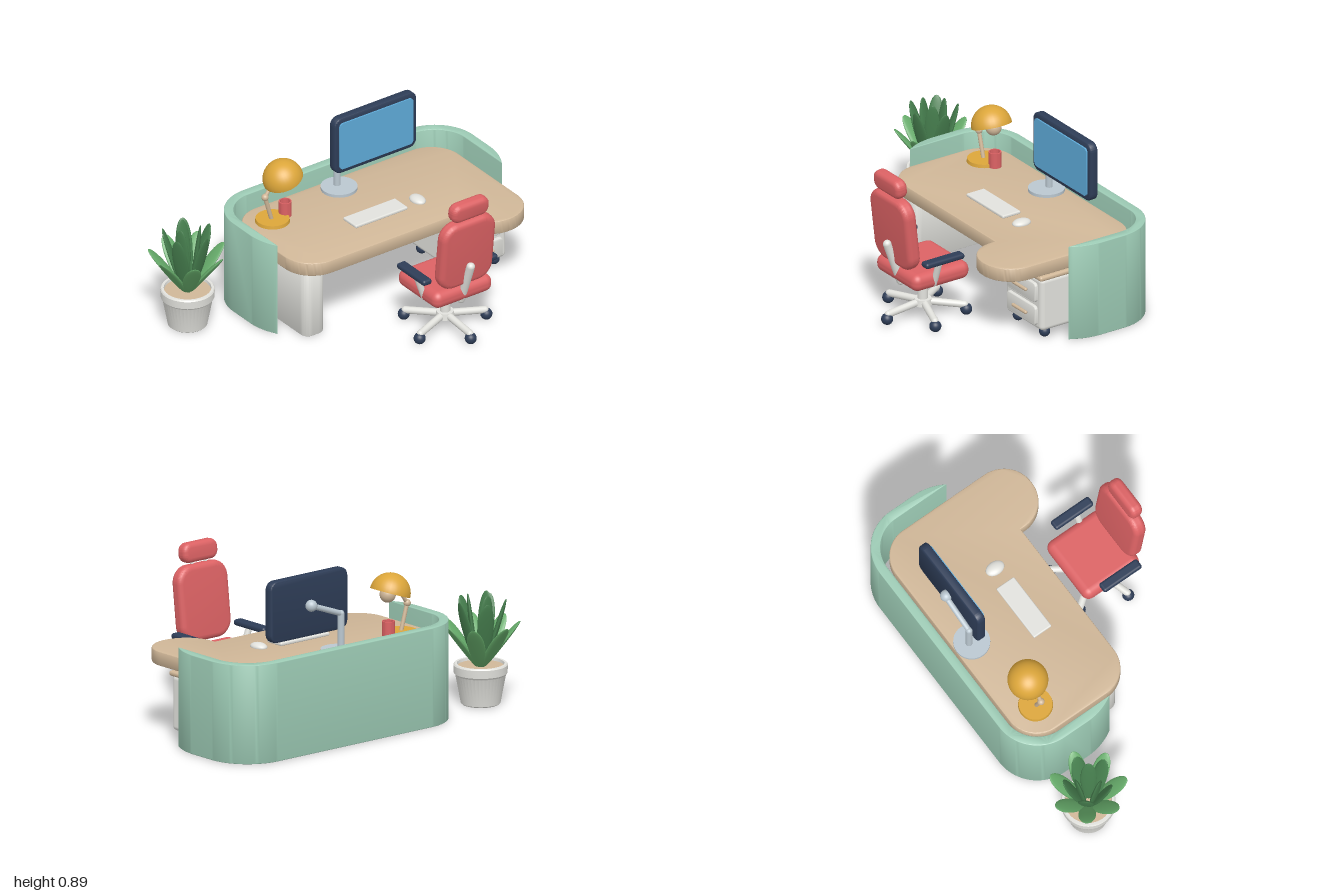
import * as THREE from 'three';
import { toCreasedNormals } from 'three/addons/utils/BufferGeometryUtils.js';
import { RoundedBoxGeometry } from 'three/addons/geometries/RoundedBoxGeometry.js';

const mat = (name, color) => {
  const m = new THREE.MeshStandardMaterial({ color });
  m.name = name;
  return m;
};
const V = (x, y, z) => new THREE.Vector3(x, y, z);

export function createModel() {
  const sage = mat('sage', 0x9ccab4), wood = mat('wood', 0xd0b798), white = mat('white', 0xe2e2dd);
  const grey = mat('paleGrey', 0xbac7d0), red = mat('coral', 0xdc6264), navy = mat('navy', 0x2e3d57);
  const blue = mat('screenBlue', 0x5eaad8), gold = mat('gold', 0xdca63a);
  const leafLight = mat('leafLight', 0x66ab6a), leafDark = mat('leafDark', 0x47804f);
  gold.side = THREE.DoubleSide;

  const model = new THREE.Group();
  const group = (name, parent = model) => {
    const g = new THREE.Group();
    g.name = name;
    parent.add(g);
    return g;
  };
  const add = (parent, name, geo, material, x = 0, y = 0, z = 0) => {
    const m = new THREE.Mesh(geo, material);
    m.name = name;
    m.position.set(x, y, z);
    parent.add(m);
    return m;
  };
  const rbox = (w, h, d, r) => new RoundedBoxGeometry(w, h, d, 4, r);
  const disc = (r, h, r2 = r) => new THREE.CylinderGeometry(r2, r, h, 32);
  const ball = (r) => new THREE.SphereGeometry(r, 24, 16);
  // round-ended rod between two points
  const rod = (parent, name, a, b, r, material) => {
    const d = b.clone().sub(a);
    const m = add(parent, name, new THREE.CapsuleGeometry(r, d.length(), 6, 16), material);
    m.position.copy(a).add(b).multiplyScalar(0.5);
    m.quaternion.setFromUnitVectors(V(0, 1, 0), d.normalize());
    return m;
  };
  const roundRect = (w, h, r) => {
    const s = new THREE.Shape(), x = w / 2 - r, y = h / 2 - r, q = Math.PI / 2;
    s.absarc(x, y, r, 0, q);
    s.absarc(-x, y, r, q, 2 * q);
    s.absarc(-x, -y, r, 2 * q, 3 * q);
    s.absarc(x, -y, r, 3 * q, 4 * q);
    s.closePath();
    return s;
  };
  // extrusion centred on z, bevel kept inside the depth and outline
  const slab = (shape, depth, bevel) => {
    const g = new THREE.ExtrudeGeometry(shape, {
      depth: depth - 2 * bevel, bevelEnabled: bevel > 0, bevelSize: bevel, bevelThickness: bevel,
      bevelOffset: -bevel, bevelSegments: 4, curveSegments: 14,
    });
    g.translate(0, 0, bevel - depth / 2);
    return toCreasedNormals(g, 0.6);
  };
  // plan shapes use (x, -z) and are extruded upward
  const plan = (shape, height, bevel) => slab(shape, height, bevel).rotateX(-Math.PI / 2);
  const P = Math.PI, H = P / 2;

  // Wraparound privacy screen
  const u = new THREE.Shape();
  u.moveTo(-0.47, 0.06);
  u.quadraticCurveTo(-0.515, 0.13, -0.52, 0.22);
  u.absarc(-0.28, 0.38, 0.24, P, H, true);
  u.absarc(0.76, 0.38, 0.24, H, 0, true);
  u.lineTo(1, 0.22);
  u.quadraticCurveTo(0.995, 0.13, 0.95, 0.06);
  u.absarc(0.76, 0.38, 0.19, 0, H, false);
  u.absarc(-0.28, 0.38, 0.19, H, P, false);
  u.closePath();
  add(model, 'privacyScreen', plan(u, 0.525, 0.005), sage, 0, 0.2625, 0);

  // Desk with a return on its left side
  const desk = group('desk');
  const t = new THREE.Shape();
  t.moveTo(-0.43, 0.37);
  t.absarc(-0.26, 0.37, 0.17, P, H, true);
  t.absarc(0.73, 0.37, 0.17, H, 0, true);
  t.absarc(0.73, -0.145, 0.17, 0, -H, true);
  t.absarc(0.72, -0.145, 0.17, -H, -P, true);
  t.lineTo(0.55, -0.12);
  t.absarc(-0.26, 0.05, 0.17, -H, -P, true);
  t.closePath();
  add(desk, 'desktop', plan(t, 0.075, 0.006), wood, 0, 0.4125, 0);
  add(desk, 'deskLeg', plan(roundRect(0.13, 0.51, 0.045), 0.375, 0.005), white, -0.315, 0.1875, -0.195);
  add(desk, 'modestyPanel', new THREE.BoxGeometry(1.09, 0.22, 0.03), white, 0.285, 0.265, -0.4);

  // Drawer pedestal
  const ped = group('drawerPedestal');
  add(ped, 'cabinet', rbox(0.325, 0.295, 0.4, 0.025), white, 0.7275, 0.1975, -0.135);
  add(ped, 'cabinetTop', rbox(0.345, 0.028, 0.425, 0.013), wood, 0.7275, 0.352, -0.135);
  for (const y of [0.26, 0.13]) {
    add(ped, 'drawerFront', slab(roundRect(0.258, 0.108, 0.02), 0.024, 0.006), white, 0.7275, y, 0.07);
    rod(ped, 'drawerHandle', V(0.672, y, 0.09), V(0.783, y, 0.09), 0.009, wood);
  }
  for (const x of [0.61, 0.845]) for (const z of [0.015, -0.29])
    add(ped, 'cabinetCaster', ball(0.029), navy, x, 0.029, z);

  // Office chair
  const chair = group('chair');
  chair.position.set(0.272, 0, 0.375);
  add(chair, 'gasColumn', disc(0.027, 0.17), white, 0, 0.15, 0);
  add(chair, 'baseHub', disc(0.05, 0.035, 0.045), white, 0, 0.075, 0);
  for (let i = 0; i < 5; i++) {
    const a = (i * 2 * P) / 5, s = Math.sin(a), c = Math.cos(a);
    rod(chair, 'baseSpoke', V(s * 0.03, 0.074, c * 0.03), V(s * 0.215, 0.056, c * 0.215), 0.019, white);
    add(chair, 'chairCaster', ball(0.031), navy, s * 0.222, 0.031, c * 0.222);
  }
  add(chair, 'seat', rbox(0.37, 0.095, 0.35, 0.042), red, 0, 0.272, 0);
  const back = group('backrest', chair);
  back.position.set(0, 0.53, 0.172);
  back.rotation.x = 0.115;
  add(back, 'backCushion', slab(roundRect(0.335, 0.4, 0.09), 0.075, 0.028), red);
  add(back, 'headrest', slab(roundRect(0.23, 0.105, 0.045), 0.07, 0.026), red, 0, 0.262, 0);
  for (const x of [-0.045, 0.045]) rod(back, 'headrestPost', V(x, 0.18, 0), V(x, 0.23, 0), 0.009, white);
  rod(chair, 'backSpine', V(0, 0.225, 0.138), V(0, 0.455, 0.222), 0.022, white);
  for (const s of [-1, 1]) {
    rod(chair, 'armSupport', V(s * 0.165, 0.25, 0.045), V(s * 0.208, 0.372, 0.045), 0.017, white);
    add(chair, 'armPad', rbox(0.056, 0.032, 0.24, 0.014), navy, s * 0.21, 0.391, 0.02);
  }

  // Monitor on an arm
  const mon = group('monitor');
  add(mon, 'monitorCase', slab(roundRect(0.52, 0.325, 0.045), 0.048, 0.01), navy, 0.4, 0.728, -0.424);
  add(mon, 'monitorScreen', slab(roundRect(0.465, 0.27, 0.022), 0.009, 0), blue, 0.4, 0.728, -0.396);
  add(mon, 'monitorBase', disc(0.095, 0.016), grey, 0.2, 0.458, -0.445);
  rod(mon, 'monitorPole', V(0.2, 0.46, -0.462), V(0.2, 0.655, -0.462), 0.018, grey);
  rod(mon, 'monitorArm', V(0.2, 0.655, -0.462), V(0.4, 0.73, -0.466), 0.015, grey);
  add(mon, 'monitorJoint', ball(0.031), grey, 0.4, 0.73, -0.462);

  // Keyboard, mouse and cup
  add(model, 'keyboard', rbox(0.33, 0.018, 0.112, 0.007), white, 0.193, 0.458, -0.12);
  add(model, 'mouse', ball(1), white, 0.454, 0.453, -0.113).scale.set(0.037, 0.022, 0.053);
  const cup = [[0, 0], [0.033, 0], [0.033, 0.085], [0.027, 0.085], [0.027, 0.02], [0, 0.02]];
  const lathe = (pts, seg = 32) => toCreasedNormals(
    new THREE.LatheGeometry(pts.map(([r, y]) => new THREE.Vector2(r, y)), seg), 0.5);
  add(model, 'penCup', lathe(cup), red, -0.182, 0.449, -0.39);

  // Desk lamp
  const lamp = group('lamp');
  add(lamp, 'lampBase', disc(0.09, 0.018, 0.087), gold, -0.268, 0.459, -0.382);
  rod(lamp, 'lampLowerArm', V(-0.275, 0.465, -0.382), V(-0.315, 0.605, -0.382), 0.011, wood);
  rod(lamp, 'lampUpperArm', V(-0.315, 0.605, -0.382), V(-0.255, 0.69, -0.382), 0.01, wood);
  add(lamp, 'lampJoint', ball(0.019), wood, -0.315, 0.605, -0.382);
  const dome = new THREE.SphereGeometry(0.106, 32, 14, 0, 2 * P, 0, H);
  add(lamp, 'lampShade', dome, gold, -0.2, 0.677, -0.382).rotation.z = 0.34;
  add(lamp, 'lampBulb', ball(0.042), wood, -0.184, 0.672, -0.382);

  // Potted plant
  const plant = group('plant');
  plant.position.set(-0.778, 0, -0.42);
  const pot = [[0, 0], [0.095, 0], [0.102, 0.006], [0.13, 0.155], [0.138, 0.165], [0.14, 0.207],
    [0.135, 0.214], [0.122, 0.214], [0.118, 0.185], [0, 0.185]];
  add(plant, 'pot', lathe(pot, 40), white);
  add(plant, 'soil', disc(0.12, 0.012), wood, 0, 0.193, 0);
  // leaf: flattened ball, narrow at the base, with a tapering, backward-bending tip
  const leafGeo = (len, width, bend) => {
    const g = new THREE.SphereGeometry(1, 14, 14), p = g.attributes.position;
    for (let i = 0; i < p.count; i++) {
      const k = (p.getY(i) + 1) / 2;
      p.setXYZ(i, p.getX(i) * width * (0.75 + 0.3 * k), k * len, p.getZ(i) * 0.013 + bend * k * k);
    }
    g.computeVertexNormals();
    return g;
  };
  const rings = [
    { n: 7, tilt: 0.58, len: 0.30, width: 0.05, bend: 0.022, start: 0.45, m: leafLight },
    { n: 5, tilt: 0.3, len: 0.375, width: 0.048, bend: 0.0, start: 0.2, m: leafDark },
    { n: 3, tilt: 0.12, len: 0.39, width: 0.046, bend: 0.0, start: 0.9, m: leafDark },
  ];
  for (const r of rings) for (let i = 0; i < r.n; i++) {
    const stem = group('leafStem', plant);
    stem.rotation.y = r.start + (i * 2 * P) / r.n;
    add(stem, 'leaf', leafGeo(r.len, r.width, r.bend), r.m, 0, 0.195, 0.02).rotation.x = r.tilt;
  }
  return model;
}
